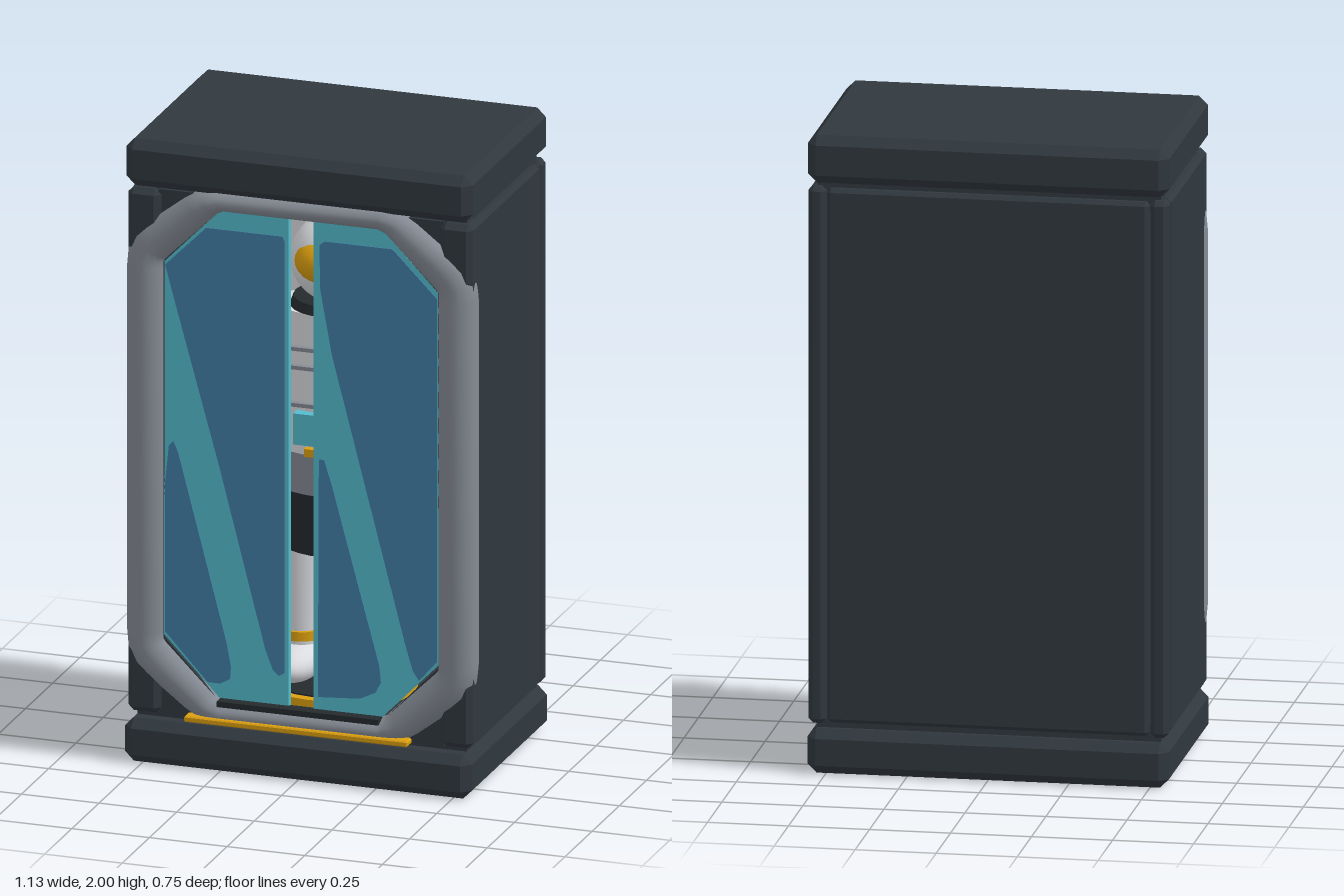
import * as THREE from 'three';
import { ConvexGeometry } from 'three/addons/geometries/ConvexGeometry.js';

const mat = (name, color, side = THREE.FrontSide) => {
  const m = new THREE.MeshStandardMaterial({ color, side });
  m.name = name;
  return m;
};

export function createModel() {
  const root = new THREE.Group();
  root.name = 'suitLocker';
  const shell = mat('charcoal shell', 0x30383e);
  const black = mat('black trim', 0x252a2d);
  const grey = mat('grey frame', 0x858b94);
  const cyan = mat('cyan glass', 0x54bccd);
  const blue = mat('blue glass', 0x427fa8);
  const white = mat('white suit', 0xd9dbdf);
  const gold = mat('gold', 0xdb9f10);

  const add = (name, geometry, material, x = 0, y = 0, z = 0, parent = root) => {
    const m = new THREE.Mesh(geometry, material);
    m.name = name;
    m.position.set(x, y, z);
    parent.add(m);
    return m;
  };
  const box = (w, h, d) => new THREE.BoxGeometry(w, h, d);

  // Box with every edge cut at 45 degrees, given by its limits
  const block = (name, x0, x1, y0, y1, z0, z1, c, material = shell) => {
    const h = [(x1 - x0) / 2, (y1 - y0) / 2, (z1 - z0) / 2];
    const pts = [];
    for (const sx of [-1, 1]) for (const sy of [-1, 1]) for (const sz of [-1, 1])
      for (let k = 0; k < 3; k++) {
        const v = h.map((e, i) => (i === k ? e : e - c));
        pts.push(new THREE.Vector3(sx * v[0], sy * v[1], sz * v[2]));
      }
    return add(name, new ConvexGeometry(pts), material, (x0 + x1) / 2, (y0 + y1) / 2, (z0 + z1) / 2);
  };

  // Plinth, cap and the recessed core plates between them
  block('base', -0.558, 0.558, 0, 0.14, -0.372, 0.372, 0.028);
  block('cap', -0.558, 0.558, 1.85, 2, -0.365, 0.362, 0.028);
  add('floor', box(1.06, 0.06, 0.64), shell, 0, 0.165, -0.01);
  add('ceiling', box(1.06, 0.06, 0.64), shell, 0, 1.83, -0.01);

  // Walls and corner posts
  block('backPanel', -0.497, 0.497, 0.16, 1.835, -0.355, -0.29, 0.012);
  for (const s of [-1, 1]) {
    const span = (a, b) => (s > 0 ? [a, b] : [-b, -a]);
    block('sidePanel', ...span(0.49, 0.556), 0.16, 1.835, -0.295, 0.285, 0.012);
    block('backPost', ...span(0.5, 0.556), 0.155, 1.84, -0.355, -0.298, 0.015);
    block('frontPost', ...span(0.45, 0.556), 0.155, 1.84, 0.24, 0.34, 0.018);
  }

  // Front plate with an eight-sided opening
  const polygon = (pts, T = THREE.Shape) => new T(pts.map(p => new THREE.Vector2(...p)));
  const plate = polygon([[-0.46, 0.15], [0.46, 0.15], [0.46, 1.84], [-0.46, 1.84]]);
  plate.holes.push(polygon([[-0.26, 0.21], [-0.44, 0.4], [-0.44, 1.61], [-0.26, 1.795],
    [0.26, 1.795], [0.44, 1.61], [0.44, 0.4], [0.26, 0.21]], THREE.Path));
  add('frontPlate', new THREE.ExtrudeGeometry(plate, { depth: 0.05, bevelEnabled: false }), shell, 0, 0, 0.27);

  // Rounded frame: half-oval sections strung between an inner and an outer outline
  const quarter = [ // inner x, y, outer x, y
    [0.44, 1.59, 0.563, 1.59], [0.44, 1.607, 0.558, 1.645], [0.433, 1.617, 0.535, 1.697],
    [0.408, 1.642, 0.5, 1.73], [0.29, 1.76, 0.375, 1.825], [0.272, 1.778, 0.33, 1.852], [0.25, 1.79, 0.265, 1.863]];
  const top = [...quarter, ...quarter.map(([a, b, c, d]) => [-a, b, -c, d]).reverse()];
  const ring = [...top, ...top.map(([a, b, c, d]) => [-a, 2.005 - b, -c, 2.005 - d])];
  const seg = 16, pos = [], idx = [];
  ring.forEach(([ix, iy, ox, oy], i) => {
    for (let j = 0; j < seg; j++) {
      const a = (j / seg) * Math.PI * 2, t = 0.5 + 0.5 * Math.cos(a);
      pos.push(ix + (ox - ix) * t, iy + (oy - iy) * t, 0.303 + 0.058 * Math.sin(a));
      const n = (i + 1) % ring.length, k = (j + 1) % seg;
      const p = i * seg + j, q = n * seg + j, r = n * seg + k, u = i * seg + k;
      idx.push(p, q, r, p, r, u);
    }
  });
  const frameGeo = new THREE.BufferGeometry();
  frameGeo.setAttribute('position', new THREE.Float32BufferAttribute(pos, 3));
  frameGeo.setIndex(idx);
  frameGeo.computeVertexNormals();
  add('doorFrame', frameGeo, grey);

  // Sill and gold strip below the doors
  add('doorSill', box(0.52, 0.018, 0.04), black, 0, 0.216, 0.335);
  block('goldStrip', -0.36, 0.36, 0.153, 0.172, 0.33, 0.373, 0.004, gold);

  // Glass doors, left slightly ajar, each with two darker reflections
  const sheet = (name, pts, depth, material, z) =>
    add(name, new THREE.ExtrudeGeometry(polygon(pts), { depth, bevelEnabled: false }), material, 0, 0, z);
  for (const s of [-1, 1])
    sheet('glassDoor', [[0.04, 0.222], [0.26, 0.222], [0.442, 0.41], [0.442, 1.61], [0.26, 1.792], [0.04, 1.792]]
      .map(([x, y]) => [s * x, y]), 0.02, cyan, 0.3);
  const panes = {
    rightUpperPane: [[-0.437, 1.6], [-0.305, 1.733], [-0.06, 1.733], [-0.052, 1.72], [-0.052, 0.33],
      [-0.07, 0.318], [-0.09, 0.335], [-0.115, 0.4], [-0.26, 0.96], [-0.41, 1.5]],
    rightLowerPane: [[-0.437, 0.42], [-0.3, 0.272], [-0.26, 0.272], [-0.228, 0.29], [-0.225, 0.33],
      [-0.24, 0.41], [-0.395, 1.0], [-0.41, 1.035], [-0.425, 1.02], [-0.437, 0.9]],
    leftUpperPane: [[0.06, 1.72], [0.078, 1.733], [0.295, 1.733], [0.438, 1.59], [0.438, 0.42],
      [0.38, 0.355], [0.36, 0.385], [0.335, 0.47], [0.1, 1.37], [0.062, 1.58]],
    leftLowerPane: [[0.055, 0.265], [0.19, 0.275], [0.24, 0.3], [0.258, 0.335], [0.252, 0.39],
      [0.1, 0.95], [0.075, 1.03], [0.058, 1.03]]
  };
  for (const [name, pts] of Object.entries(panes)) sheet(name, pts, 0.004, blue, 0.319);

  // Suit kept inside, standing on a gold-rimmed disc
  const suit = new THREE.Group();
  suit.name = 'storedSuit';
  root.add(suit);
  const part = (name, g, m, x, y, z) => add(name, g, m, x, y, z, suit);
  const ball = new THREE.SphereGeometry(1, 24, 16);
  const tube = (r0, r1, h) => new THREE.CylinderGeometry(r0, r1, h, 24);
  part('liner', box(0.5, 1.55, 0.02), white, 0, 1, -0.27);
  part('standRim', tube(0.25, 0.25, 0.03), gold, 0, 0.21, 0);
  part('stand', tube(0.22, 0.22, 0.02), black, 0, 0.22, 0);
  for (const s of [-1, 1]) {
    part('boot', ball, white, s * 0.11, 0.27, 0.04).scale.set(0.075, 0.06, 0.13);
    part('bootCuff', tube(0.078, 0.078, 0.03), gold, s * 0.11, 0.36, 0);
    part('leg', tube(0.085, 0.065, 0.44), white, s * 0.11, 0.55, 0);
    part('arm', tube(0.06, 0.05, 0.5), white, s * 0.25, 1.08, 0).rotation.z = s * 0.12;
    part('glove', ball, black, s * 0.285, 0.8, 0).scale.setScalar(0.058);
    part('shoulder', ball, white, s * 0.22, 1.32, 0).scale.setScalar(0.085);
  }
  part('hips', tube(0.19, 0.17, 0.2), black, 0, 0.74, 0).scale.z = 0.7;
  part('belt', tube(0.195, 0.195, 0.13), grey, 0, 0.905, 0).scale.z = 0.7;
  part('torso', tube(0.19, 0.2, 0.45), white, 0, 1.195, 0).scale.z = 0.7;
  part('chestPanel', box(0.16, 0.1, 0.05), cyan, 0, 1.06, 0.14);
  part('chestButton', box(0.035, 0.025, 0.03), gold, -0.03, 0.985, 0.145);
  for (const y of [1.13, 1.25, 1.31]) part('chestRib', box(0.2, 0.012, 0.02), grey, 0, y, 0.135);
  part('collar', tube(0.13, 0.14, 0.03), black, 0, 1.435, 0);
  part('helmet', ball, white, 0, 1.57, 0).scale.setScalar(0.14);
  part('visor', ball, gold, 0, 1.58, 0.05).scale.set(0.11, 0.08, 0.115);
  part('hangerHook', tube(0.02, 0.02, 0.1), black, 0, 1.74, 0);
  part('hangerBar', box(0.3, 0.03, 0.05), gold, 0, 1.755, 0.03);

  return root;
}
